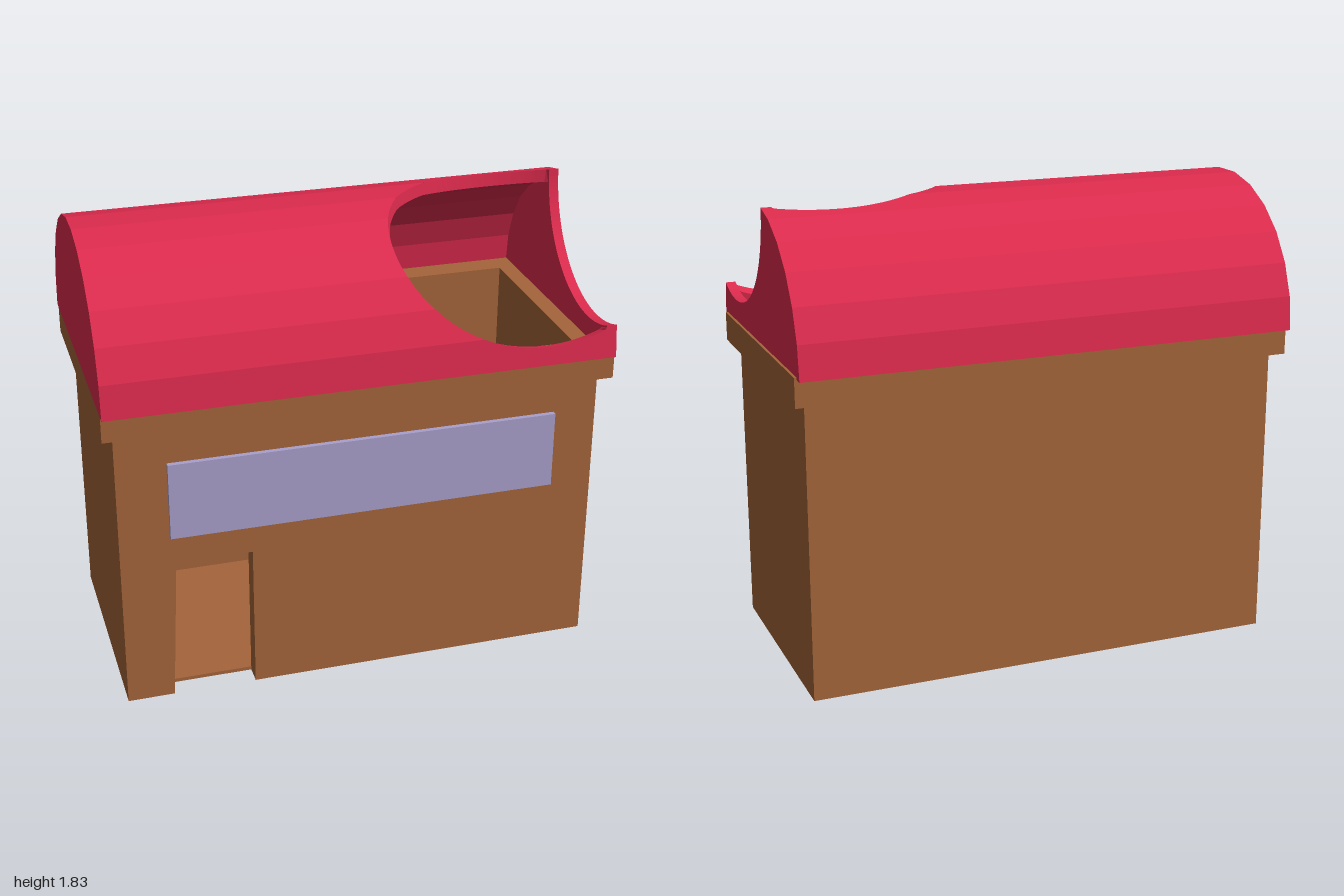
import * as THREE from 'three';

const RED = 0xdc2b4d, BROWN = 0xa5653a, LILAC = 0xa89fcb;
const SIDES = 13, ROOF_Y = 1.28, R_OUT = 0.555, R_IN = 0.505, WALL_X = 0.95;
// rounded opening: an ellipsoid stretched along x
const CUT = { x: 0.72, y: 1.835, z: 0.365, r: 0.515, stretch: 1.12 };

function material(color) {
  return new THREE.MeshStandardMaterial({ color, flatShading: true, side: THREE.DoubleSide });
}

// point on the faceted half-round profile, t = 0 at the front eave, 1 at the back
function profile(t, r) {
  const k = Math.min(Math.floor(t * SIDES), SIDES - 1), f = t * SIDES - k;
  const a = (k * Math.PI) / SIDES, b = ((k + 1) * Math.PI) / SIDES;
  return {
    z: r * THREE.MathUtils.lerp(Math.cos(a), Math.cos(b), f),
    y: ROOF_Y + r * THREE.MathUtils.lerp(Math.sin(a), Math.sin(b), f),
  };
}

function cutDistance(t, r) {
  const p = profile(t, r);
  return Math.hypot(p.y - CUT.y, p.z - CUT.z);
}

// half width of the opening along x
function cutWidth(t, r) {
  return CUT.stretch * Math.sqrt(Math.max(0, CUT.r ** 2 - cutDistance(t, r) ** 2));
}

// the two places where the profile enters and leaves the cut
function cutEnds(r, radius) {
  return [0, 1].map((outside) => {
    let out = outside, inn = 0.315;
    for (let i = 0; i < 40; i++) {
      const m = (out + inn) / 2;
      if (cutDistance(m, r) > radius) out = m; else inn = m;
    }
    return out;
  });
}

// samples across the opening, denser at its ends
function cutSamples(r, n = 60) {
  const [a, b] = cutEnds(r, CUT.r);
  return Array.from({ length: n + 1 }, (_, i) => a + ((b - a) * (1 - Math.cos((Math.PI * i) / n))) / 2);
}

function roofShell() {
  const pos = [];
  const quad = (a, b, c, d) => [a, b, c, a, c, d].forEach((p) => pos.push(...p));
  const at = (t, x, r) => { const p = profile(t, r); return [x, p.y, p.z]; };
  const edge = (t, r, side) => Math.min(WALL_X, CUT.x + side * cutWidth(t, r));

  // outer and inner skins, each left and right of the opening
  for (const r of [R_OUT, R_IN]) {
    const ts = cutSamples(r);
    for (let i = 0; i <= SIDES; i++) ts.push(i / SIDES);
    ts.sort((a, b) => a - b);
    for (let i = 0; i < ts.length - 1; i++) {
      const [a, b] = [ts[i], ts[i + 1]];
      if (b - a < 1e-7) continue;
      const strip = (a0, a1, b0, b1) => {
        const q = [at(a, a0, r), at(a, a1, r), at(b, b1, r), at(b, b0, r)];
        quad(...(r === R_OUT ? q : q.reverse()));
      };
      strip(-WALL_X, edge(a, r, -1), -WALL_X, edge(b, r, -1));
      strip(edge(a, r, 1), WALL_X, edge(b, r, 1), WALL_X);
    }
  }

  // rim joining the two skins around the opening
  const to = cutSamples(R_OUT), ti = cutSamples(R_IN);
  for (const side of [-1, 1]) {
    for (let i = 0; i < to.length - 1; i++) {
      const xs = [edge(to[i], R_OUT, side), edge(to[i + 1], R_OUT, side),
        edge(ti[i + 1], R_IN, side), edge(ti[i], R_IN, side)];
      if (xs.every((x) => x >= WALL_X)) continue;
      const q = [at(to[i], xs[0], R_OUT), at(to[i + 1], xs[1], R_OUT),
        at(ti[i + 1], xs[2], R_IN), at(ti[i], xs[3], R_IN)];
      quad(...(side < 0 ? q : q.reverse()));
    }
  }

  // undersides of the eaves
  for (const t of [0, 1]) {
    const q = [at(t, -WALL_X, R_IN), at(t, WALL_X, R_IN), at(t, WALL_X, R_OUT), at(t, -WALL_X, R_OUT)];
    quad(...(t === 0 ? q : q.reverse()));
  }

  const geo = new THREE.BufferGeometry();
  geo.setAttribute('position', new THREE.Float32BufferAttribute(pos, 3));
  geo.computeVertexNormals();
  return geo;
}

// half-round end wall, optionally bitten by the opening
function roofEnd(x, depth, bitten) {
  const shape = new THREE.Shape();
  const radius = 0.46;
  const [front, back] = cutEnds(R_OUT, radius);
  const point = (t) => { const p = profile(t, R_OUT); return [-p.z, p.y]; };
  const angle = (t) => { const [px, py] = point(t); return Math.atan2(py - CUT.y, px + CUT.z); };
  shape.moveTo(...point(1));
  let bite = bitten;
  for (let i = SIDES - 1; i >= 0; i--) {
    const t = i / SIDES;
    if (bite && t < back) {
      shape.absarc(-CUT.z, CUT.y, radius, angle(back), angle(front), true);
      bite = false;
    }
    if (!bitten || t > back || t < front) shape.lineTo(...point(t));
  }
  const geo = new THREE.ExtrudeGeometry(shape, { depth, bevelEnabled: false, curveSegments: 32 });
  return geo.rotateY(Math.PI / 2).translate(x, 0, 0);
}

export function createModel() {
  const model = new THREE.Group();
  const red = material(RED), brown = material(BROWN), lilac = material(LILAC);
  const add = (name, geo, mat) => {
    const mesh = new THREE.Mesh(geo, mat);
    mesh.name = name;
    model.add(mesh);
  };
  const box = (x0, x1, y0, y1, z0, z1) => new THREE.BoxGeometry(x1 - x0, y1 - y0, z1 - z0)
    .translate((x0 + x1) / 2, (y0 + y1) / 2, (z0 + z1) / 2);

  // hollow body
  const X = 0.955, Z = 0.475, IX = 0.88, IZ = 0.4, H = 1.175;
  const front = new THREE.Shape([
    [-X, 0], [-0.77, 0], [-0.74, 0.6], [-0.44, 0.6], [-0.44, 0], [X, 0], [X, H], [-X, H],
  ].map(([x, y]) => new THREE.Vector2(x, y)));
  add('frontWallWithDoorway',
    new THREE.ExtrudeGeometry(front, { depth: Z - IZ, bevelEnabled: false }).translate(0, 0, IZ), brown);
  add('backWall', box(-X, X, 0, H, -Z, -IZ), brown);
  add('leftWall', box(IX, X, 0, H, -IZ, IZ), brown);
  add('rightWall', box(-X, -IX, 0, H, -IZ, IZ), brown);
  add('floor', box(-IX, IX, 0, 0.015, -IZ, IZ), brown);

  // open trim frame under the roof
  const rect = (Type, x, z) => new Type([[-x, -z], [x, -z], [x, z], [-x, z]].map(([a, b]) => new THREE.Vector2(a, b)));
  const frame = rect(THREE.Shape, 1, 0.52);
  frame.holes.push(rect(THREE.Path, IX, IZ));
  add('trimFrame', new THREE.ExtrudeGeometry(frame, { depth: 0.115, bevelEnabled: false })
    .rotateX(-Math.PI / 2).translate(0, H, 0), brown);

  add('windowPanel', box(-0.76, 0.78, 0.72, 1.035, Z, 0.495), lilac);

  // barrel roof
  add('roofShell', roofShell(), red);
  add('roofLeftEnd', roofEnd(WALL_X, 0.04, true), red);
  add('roofRightEnd', roofEnd(-1, 0.05, false), red);
  return model;
}
